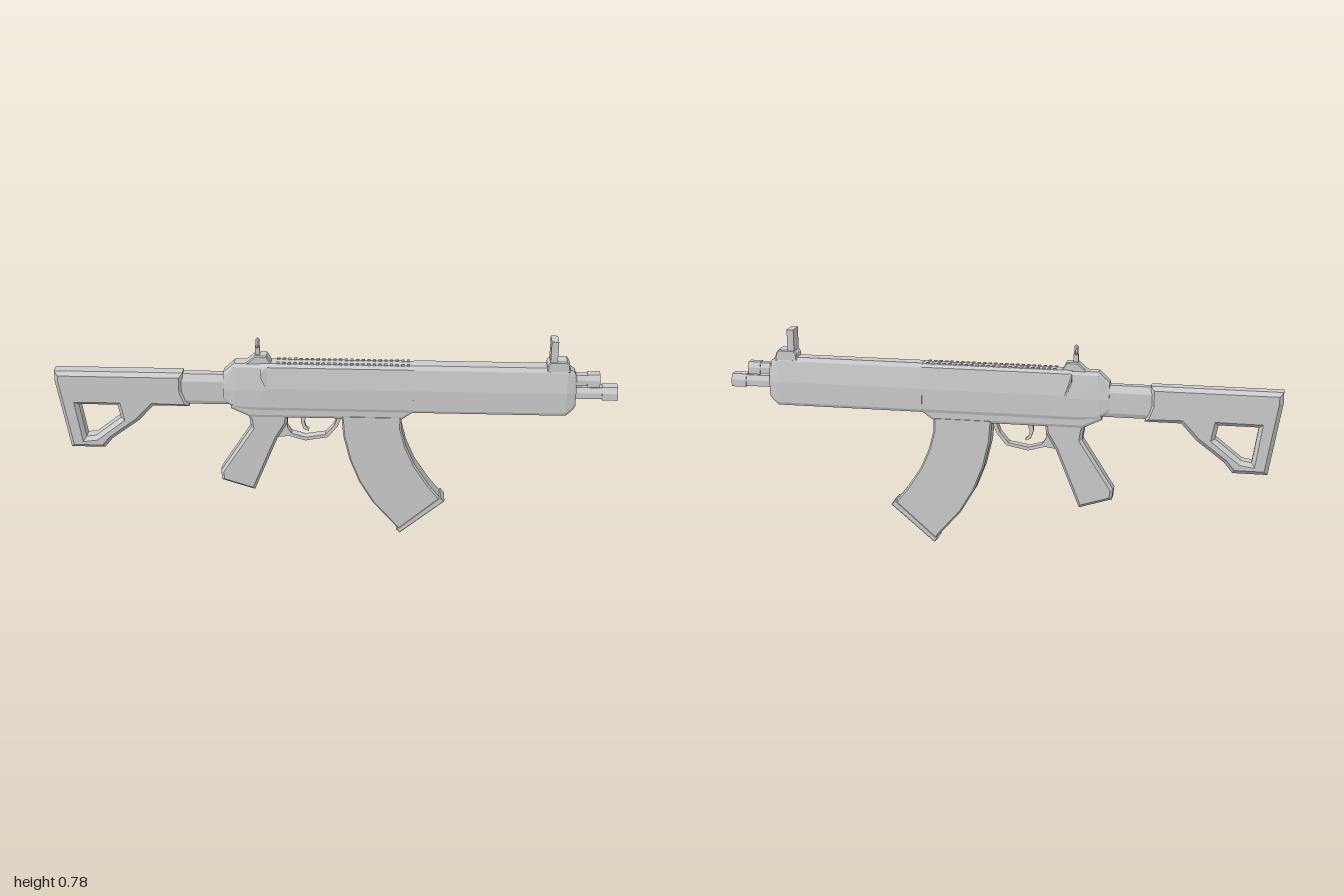
import * as THREE from 'three';

const material = new THREE.MeshStandardMaterial({ color: 0xcccccc, flatShading: true });

function add(group, name, geometry) {
  const mesh = new THREE.Mesh(geometry, material);
  mesh.name = name;
  group.add(mesh);
  return mesh;
}

function box(group, name, [x0, x1], [y0, y1], halfWidth, z = 0) {
  const mesh = add(group, name, new THREE.BoxGeometry(x1 - x0, y1 - y0, halfWidth * 2));
  mesh.position.set((x0 + x1) / 2, (y0 + y1) / 2, z);
  return mesh;
}

const toShape = (points) => new THREE.Shape(points.map(([x, y]) => new THREE.Vector2(x, y)));

// Side outline extruded symmetrically across z, with chamfered edges
function slab(group, name, outline, halfWidth, bevel = 0, hole = null) {
  const shape = toShape(outline);
  if (hole) shape.holes.push(toShape(hole));
  const geometry = new THREE.ExtrudeGeometry(shape, {
    depth: 2 * (halfWidth - bevel), bevelEnabled: bevel > 0, bevelSegments: 1,
    bevelSize: bevel, bevelThickness: bevel, bevelOffset: -bevel,
  });
  geometry.translate(0, 0, bevel - halfWidth);
  return add(group, name, geometry);
}

// Skin over stations along x; each profile lists [y, halfWidth] from bottom to top
function loft(group, name, stations) {
  const rings = stations.map(([x, profile]) => [
    ...profile.map(([y, w]) => [x, y, w]),
    ...profile.slice().reverse().map(([y, w]) => [x, y, -w]),
  ]);
  const positions = [];
  const tri = (...corners) => corners.forEach((p) => positions.push(...p));
  const n = rings[0].length;
  for (let i = 0; i < rings.length - 1; i++) {
    for (let j = 0; j < n; j++) {
      const k = (j + 1) % n;
      const [a, b, c, d] = [rings[i][j], rings[i][k], rings[i + 1][k], rings[i + 1][j]];
      tri(a, d, c);
      tri(a, c, b);
    }
  }
  const first = rings[0], last = rings[rings.length - 1];
  for (let j = 1; j < n - 1; j++) {
    tri(first[0], first[j], first[j + 1]);
    tri(last[0], last[j + 1], last[j]);
  }
  const geometry = new THREE.BufferGeometry();
  geometry.setAttribute('position', new THREE.Float32BufferAttribute(positions, 3));
  geometry.computeVertexNormals();
  return add(group, name, geometry);
}

// Angular tube with a hollow, slightly wider collar at the tip
function barrel(group, name, x0, x1, collar, y, halfHeight, halfWidth) {
  const outline = (s) => [
    [-1, -1], [1, -1], [1, 0.1], [0.6, 1], [-0.6, 1], [-1, 0.1],
  ].map(([z, v]) => [z * halfWidth * s, v * halfHeight * s]);
  const run = (label, start, end, scale, hole) => {
    const shape = toShape(outline(scale));
    if (hole) shape.holes.push(toShape(outline(hole)));
    const geometry = new THREE.ExtrudeGeometry(shape, { depth: end - start, bevelEnabled: false });
    geometry.rotateY(Math.PI / 2).translate(start, y, 0);
    add(group, label, geometry);
  };
  run(name, x0, x1 - 0.015, 0.86);
  run(name + 'Collar', collar, x1, 1, 0.62 + 0.08);
}

export function createModel() {
  const model = new THREE.Group();
  model.name = 'rifle';

  // Shoulder stock with triangular opening, and the tube that carries it
  slab(model, 'stock', [
    [-1, 0.63], [-1, 0.59], [-0.957, 0.328], [-0.835, 0.328], [-0.805, 0.365],
    [-0.705, 0.44], [-0.65, 0.5], [-0.52, 0.5], [-0.54, 0.56], [-0.54, 0.63],
  ], 0.034, 0.014, [
    [-0.92, 0.5], [-0.9, 0.37], [-0.865, 0.375], [-0.77, 0.45], [-0.78, 0.5],
  ]);
  loft(model, 'stockTube', [-0.56, -0.37].map((x) => [x, [
    [0.51, 0.02], [0.525, 0.026], [0.6, 0.026], [0.625, 0.014],
  ]]));

  // Receiver: tapered upper body, lower rail and side cover
  const body = (bottom, top, w) => [
    [bottom, w * 0.9], [bottom + 0.012, w], [0.575, w], [top - 0.012, w * 0.78], [top, w * 0.55],
  ];
  loft(model, 'receiver', [
    [-0.395, body(0.53, 0.635, 0.031)],
    [-0.355, body(0.5, 0.672, 0.036)],
    [-0.26, body(0.497, 0.672, 0.039)],
    [0.282, body(0.497, 0.668, 0.039)],
  ]);
  const lower = (bottom) => [[bottom, 0.03], [bottom + 0.01, 0.034], [0.515, 0.034]];
  loft(model, 'lowerReceiver', [
    [-0.37, lower(0.5)], [-0.3, lower(0.467)], [0.24, lower(0.467)], [0.278, lower(0.495)],
  ]);
  const cover = (bottom) => [[bottom, 0.042], [bottom + 0.015, 0.042], [0.663, 0.033], [0.674, 0.022]];
  loft(model, 'upperCover', [
    [-0.262, cover(0.63)], [-0.238, cover(0.57)], [0.282, cover(0.57)],
  ]);

  // Two rows of small teeth along the top
  for (let i = 0; i < 24; i++) {
    const x = -0.205 + i * 0.02;
    for (const side of [-1, 1]) {
      box(model, 'railTooth', [x, x + 0.011], [0.662, 0.678], 0.005, side * 0.018);
    }
  }

  // Handguard, narrowing at the nose
  const guard = (bottom, top, w) => [
    [bottom, w * 0.9], [bottom + 0.01, w], [0.585, w], [top - 0.015, w * 0.77], [top, w * 0.55],
  ];
  loft(model, 'handguard', [
    [0.28, guard(0.498, 0.676, 0.041)],
    [0.82, guard(0.498, 0.676, 0.041)],
    [0.845, guard(0.52, 0.66, 0.034)],
    [0.853, guard(0.53, 0.64, 0.03)],
  ]);

  // Upper gas tube and lower barrel
  barrel(model, 'gasTube', 0.84, 0.935, 0.89, 0.627, 0.022, 0.024);
  barrel(model, 'barrel', 0.84, 1, 0.945, 0.579, 0.023, 0.027);

  // Front sight
  slab(model, 'frontSightBase', [
    [0.745, 0.66], [0.83, 0.66], [0.825, 0.69], [0.815, 0.702], [0.758, 0.702], [0.748, 0.69],
  ], 0.03, 0.004);
  box(model, 'frontSightPost', [0.756, 0.781], [0.69, 0.778], 0.028);

  // Rear sight: raised base, stem and ring
  slab(model, 'rearSightBase', [
    [-0.335, 0.66], [-0.22, 0.66], [-0.226, 0.678], [-0.24, 0.702], [-0.28, 0.702], [-0.305, 0.68],
  ], 0.022, 0.004);
  box(model, 'rearSightStem', [-0.281, -0.264], [0.695, 0.73], 0.009);
  const ring = add(model, 'rearSightRing', new THREE.TorusGeometry(0.015, 0.006, 4, 8));
  ring.rotation.y = Math.PI / 2;
  ring.position.set(-0.2725, 0.743, 0);

  // Pistol grip
  slab(model, 'grip', [
    [-0.315, 0.485], [-0.305, 0.455], [-0.3, 0.42], [-0.415, 0.24], [-0.411, 0.203],
    [-0.292, 0.165], [-0.276, 0.205], [-0.205, 0.38], [-0.17, 0.44], [-0.165, 0.485],
  ], 0.03, 0.01);

  // Trigger guard and trigger
  slab(model, 'triggerGuard', [
    [-0.22, 0.378], [-0.165, 0.385], [-0.105, 0.368], [-0.025, 0.383], [0.01, 0.425], [0.03, 0.475],
    [0.015, 0.475], [-0.002, 0.43], [-0.033, 0.393], [-0.105, 0.381], [-0.155, 0.395],
    [-0.17, 0.42], [-0.17, 0.475], [-0.22, 0.475],
  ], 0.016);
  slab(model, 'trigger', [
    [-0.12, 0.475], [-0.122, 0.44], [-0.112, 0.41], [-0.095, 0.402], [-0.092, 0.409],
    [-0.104, 0.42], [-0.109, 0.44], [-0.095, 0.475],
  ], 0.007);

  // Curved magazine with a floor plate
  slab(model, 'magazine', [
    [0.025, 0.48], [0.032, 0.395], [0.055, 0.3], [0.09, 0.21], [0.14, 0.125], [0.242, 0.008],
    [0.395, 0.138], [0.345, 0.2], [0.29, 0.285], [0.258, 0.36], [0.24, 0.43], [0.24, 0.48],
  ], 0.034, 0.006);
  slab(model, 'magazineFloor', [
    [0.228, 0.014], [0.242, 0], [0.403, 0.137], [0.388, 0.155],
  ], 0.036, 0.003);

  return model;
}
